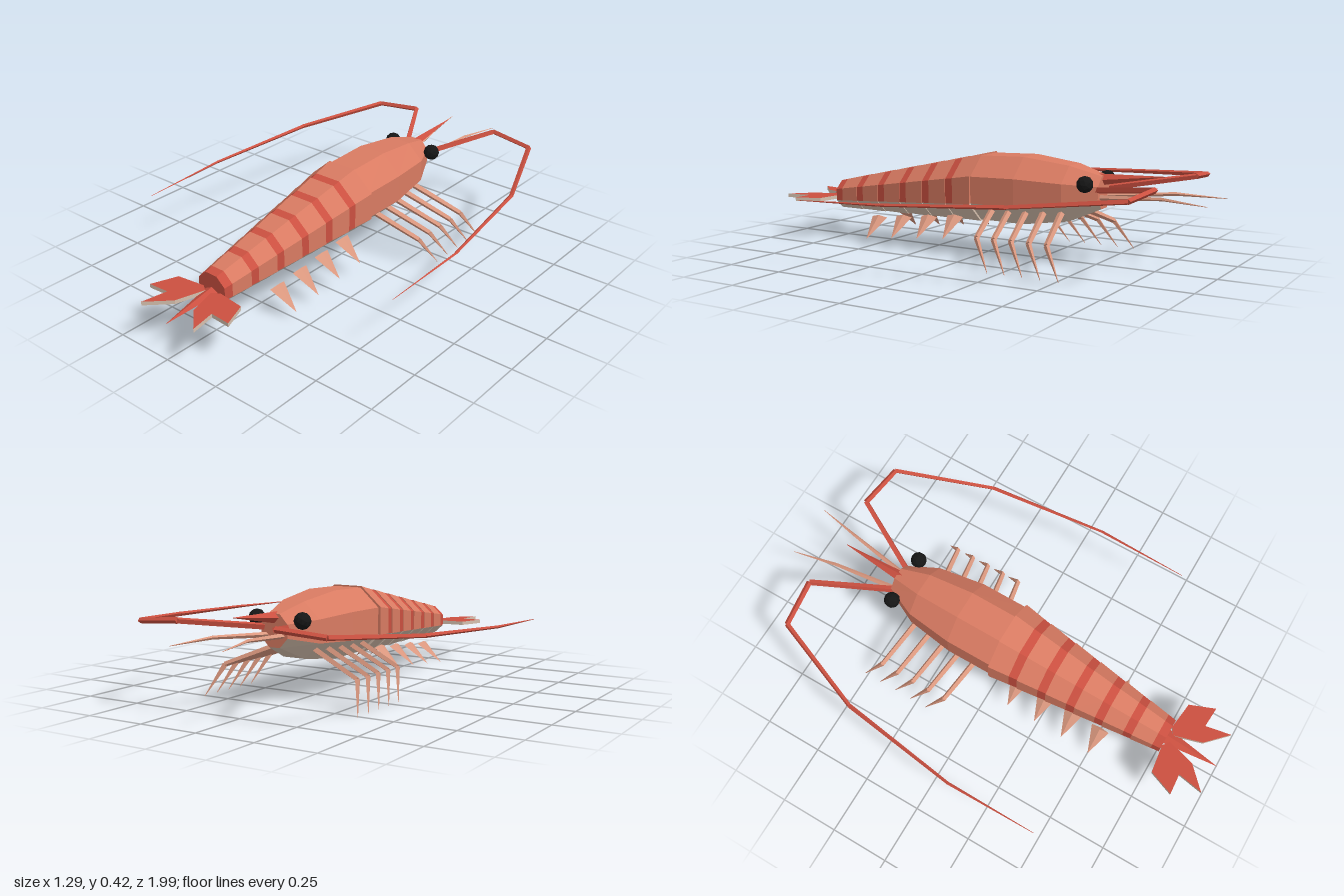
import * as THREE from 'three';

const mat = (name, color) => {
  const m = new THREE.MeshStandardMaterial({ color, flatShading: true });
  m.name = name;
  return m;
};

export function createModel() {
  const shell = mat('shell', 0xd97b62);
  const red = mat('red', 0xcb5040);
  const belly = mat('belly', 0xd6c0ae);
  const limbColor = mat('limb', 0xdb987f);
  const black = mat('black', 0x161616);
  const model = new THREE.Group();
  model.name = 'shrimp';
  const V = (x, y, z) => new THREE.Vector3(x, y, z);
  const UP = V(0, 1, 0);

  const add = (name, geometry, material, parent = model) => {
    const mesh = new THREE.Mesh(geometry, material);
    mesh.name = name;
    parent.add(mesh);
    return mesh;
  };

  // Octagonal skin over sections [z, halfWidth, halfHeight, centreY], faces k0..k1
  const corner = ([z, w, h, y], k) => {
    const a = (k + 0.5) * Math.PI / 4, c = Math.cos(Math.PI / 8);
    return [w * Math.cos(a) / c, y + h * Math.sin(a) / c, z];
  };
  const skin = (sections, k0, k1) => {
    const pos = [];
    for (let i = 0; i < sections.length - 1; i++) {
      for (let k = k0; k <= k1; k++) {
        const a = corner(sections[i], k), b = corner(sections[i], k + 1);
        const c = corner(sections[i + 1], k + 1), d = corner(sections[i + 1], k);
        pos.push(...a, ...b, ...d, ...b, ...c, ...d);
      }
    }
    const g = new THREE.BufferGeometry();
    g.setAttribute('position', new THREE.Float32BufferAttribute(pos, 3));
    g.computeVertexNormals();
    return g;
  };
  const cap = (name, [z, w, h, y], material, turn) => {
    const g = new THREE.CircleGeometry(1 / Math.cos(Math.PI / 8), 8, Math.PI / 8);
    g.rotateY(turn).scale(w, h, 1).translate(0, y, z);
    add(name, g, material);
  };

  // Carapace, head towards -z
  const head = [
    [-0.53, 0.06, 0.065, 0.305], [-0.4, 0.12, 0.112, 0.294],
    [-0.2, 0.147, 0.138, 0.292], [0, 0.147, 0.134, 0.29],
  ];
  add('carapace', skin(head, -1, 3), shell);
  add('carapaceBelly', skin(head, 4, 6), belly);
  cap('face', head[0], shell, Math.PI);

  // Six overlapping abdomen segments, each ending in a red band
  const at = (z, s = 1) => {
    const t = z / 0.76;
    return [z, (0.158 - 0.088 * t) * s, (0.14 - 0.077 * t) * s, 0.29 - 0.09 * t];
  };
  const step = 0.76 / 6;
  for (let i = 0; i < 6; i++) {
    const z0 = i * step, z1 = z0 + step;
    const rim = at(z0, 0.92), start = at(z0), band = at(z1 - 0.036, 0.985), end = at(z1, 0.975);
    add('abdomenSegment', skin([rim, start, band], -1, 3), shell);
    add('abdomenBand', skin([band, end], -1, 3), red);
    add('abdomenBelly', skin([rim, start, end], 4, 6), belly);
  }
  cap('abdomenEnd', at(0.76, 0.975), red, 0);

  // Tapered rod between two points; flat squeezes its local x
  const rod = (name, a, b, ra, rb, material, sides = 4, flat = 1, parent = model) => {
    const dir = b.clone().sub(a);
    const g = new THREE.CylinderGeometry(rb, ra, dir.length(), sides);
    g.scale(flat, 1, 1);
    const m = add(name, g, material, parent);
    m.position.copy(a).add(b).multiplyScalar(0.5);
    m.quaternion.setFromUnitVectors(UP, dir.normalize());
  };
  const chain = (name, points, radii, material) => {
    const group = new THREE.Group();
    group.name = name;
    model.add(group);
    for (let i = 0; i < points.length - 1; i++) {
      rod(name + 'Joint', points[i], points[i + 1], radii[i], radii[i + 1], material, 4, 1, group);
    }
  };

  // Rostrum and telson
  rod('rostrum', V(0, 0.35, -0.48), V(0, 0.382, -0.78), 0.026, 0.001, red);
  const telson = new THREE.ConeGeometry(0.034, 0.25, 4);
  telson.rotateX(Math.PI / 2).scale(1, 0.5, 1);
  const tail = add('telson', telson, red);
  tail.position.set(0, 0.176, 0.872);
  tail.rotation.x = 0.12;

  for (const s of [1, -1]) {
    const P = (x, y, z) => V(x * s, y, z);

    // Eye
    add('eye', new THREE.IcosahedronGeometry(0.034, 1), black).position.copy(P(0.105, 0.345, -0.495));

    // Long swept-back antenna and short antennule
    chain('antenna', [
      P(0.045, 0.315, -0.51), P(0.217, 0.363, -0.828), P(0.415, 0.347, -0.808),
      P(0.572, 0.315, -0.405), P(0.638, 0.29, 0.1), P(0.635, 0.275, 0.49),
    ], [0.014, 0.012, 0.011, 0.009, 0.006, 0.001], red);
    chain('antennule', [
      P(0.035, 0.286, -0.52), P(0.077, 0.308, -0.8), P(0.115, 0.3, -0.99),
    ], [0.011, 0.007, 0.001], limbColor);

    // Five walking legs
    for (let i = 0; i < 5; i++) {
      const z = i * 0.077;
      chain('walkingLeg', [
        P(0.08, 0.225, z - 0.385), P(0.31, 0.133, z - 0.437), P(0.357, 0.01, z - 0.513),
      ], [0.014, 0.011, 0.001], limbColor);
    }

    // Four flat swimming legs
    for (let i = 0; i < 4; i++) {
      const z = 0.11 + i * 0.131, y = 0.083 - i * 0.0127;
      rod('swimmingLeg', P(0.09, y + 0.08, z), P(0.187, y, z), 0.04, 0.001, limbColor, 4, 0.3);
    }

    // Two-lobed tail fan plate with pale edges
    const outline = [
      [0.015, 0.78], [0.045, 0.76], [0.165, 0.775], [0.207, 0.882],
      [0.118, 0.876], [0.138, 0.985], [0.05, 0.9],
    ].map(([x, z]) => new THREE.Vector2(x * s, z));
    const fan = new THREE.ExtrudeGeometry(new THREE.Shape(outline), { depth: 0.016, bevelEnabled: false });
    fan.rotateX(Math.PI / 2).translate(0, 0.196, 0);
    add('tailFan', fan, [red, belly]);
  }
  return model;
}
